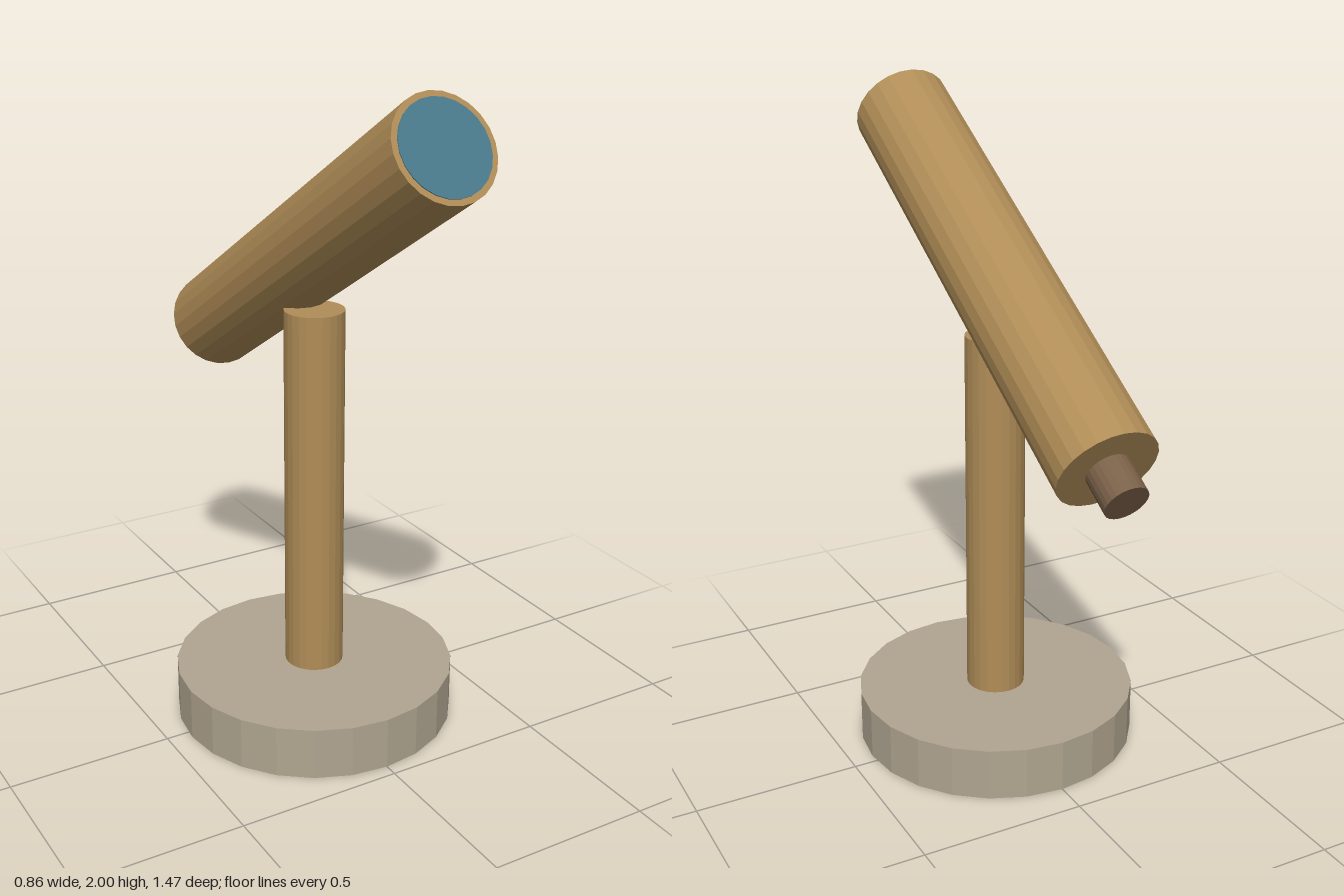
import * as THREE from 'three';

const SIDES = 24;

// Upright faceted cylinder centred at height y
function cylinder(name, radius, height, y, color) {
  const mesh = new THREE.Mesh(
    new THREE.CylinderGeometry(radius, radius, height, SIDES),
    new THREE.MeshStandardMaterial({ color, flatShading: true })
  );
  mesh.name = name;
  mesh.position.y = y;
  return mesh;
}

export function createModel() {
  const model = new THREE.Group();
  model.name = 'telescope';

  // Stand: round base and post
  const stand = new THREE.Group();
  stand.name = 'stand';
  stand.position.z = 0.03;
  stand.add(
    cylinder('base', 0.43, 0.16, 0.08, 0xb0a590),
    cylinder('post', 0.09, 1.14, 0.73, 0xb08d57)
  );

  // Tilted optical assembly, built along y with the lens at the top
  const length = 1.48;
  const optics = new THREE.Group();
  optics.name = 'opticalTube';
  optics.position.set(0, 1.485, 0.026);
  optics.rotation.x = Math.PI / 2 - 0.55;
  optics.add(
    cylinder('tube', 0.15, length, 0, 0xb08d57),
    cylinder('lens', 0.133, 0.02, length / 2 - 0.007, 0x4a7a8c),
    cylinder('eyepiece', 0.065, 0.16, -length / 2 - 0.033, 0x7a6048)
  );

  model.add(stand, optics);
  return model;
}
